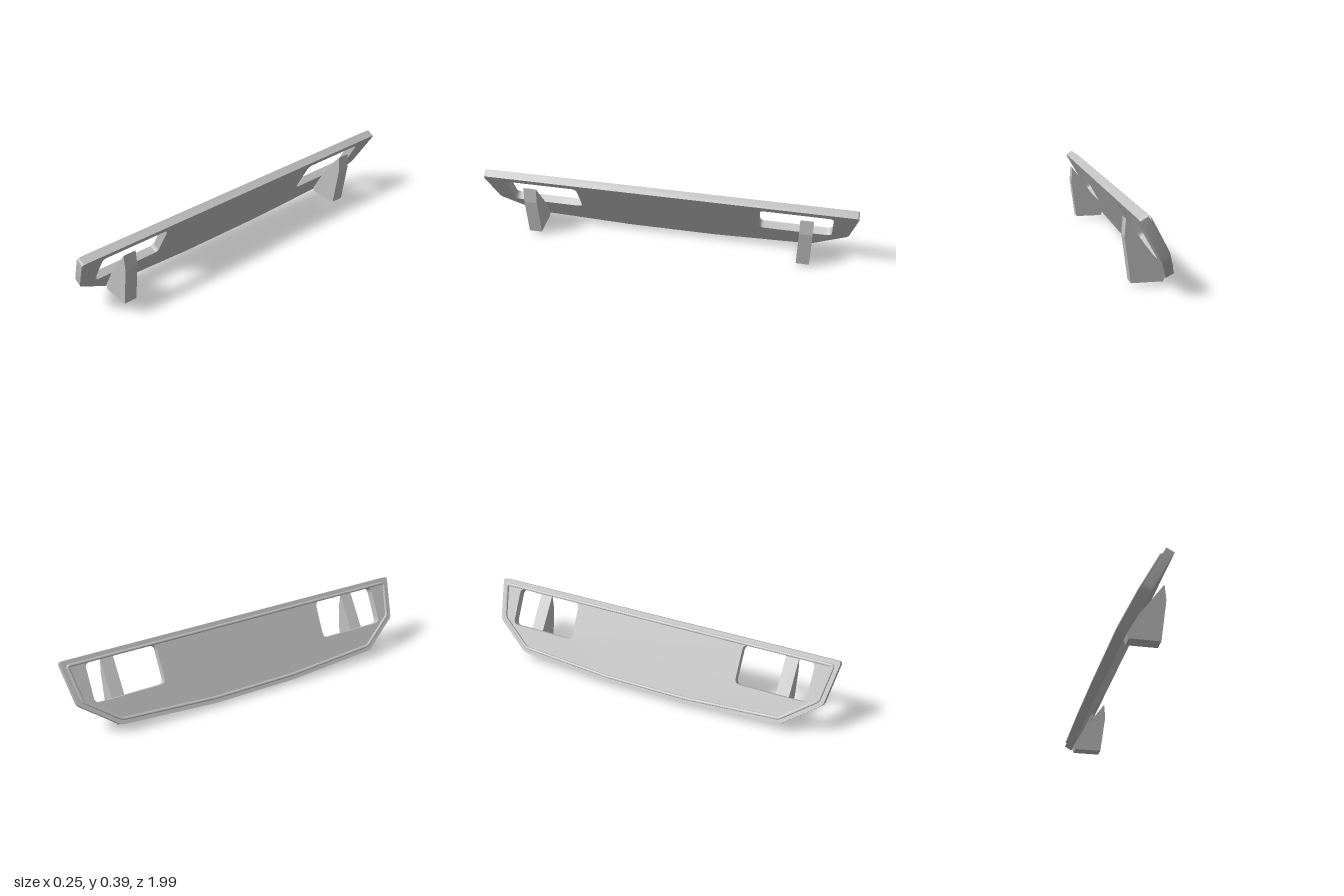
import * as THREE from 'three';
import { toCreasedNormals } from 'three/addons/utils/BufferGeometryUtils.js';

const THICK = 0.044;

// Right half of the plate outline, from bottom to top, then mirrored (counter-clockwise)
const half = [[0.24, 0], [0.77, 0.034], [0.962, 0.185], [1, 0.419]];
const outline = [...half, ...half.map(([x, y]) => [-x, y]).reverse()]
  .map(([x, y]) => new THREE.Vector2(x, y));

// Moves every side of a counter-clockwise polygon inwards by d
function inset(points, d) {
  const n = points.length;
  return points.map((p, i) => {
    const a = p.clone().sub(points[(i + n - 1) % n]).normalize();
    const b = points[(i + 1) % n].clone().sub(p).normalize();
    const na = new THREE.Vector2(-a.y, a.x);
    const nb = new THREE.Vector2(-b.y, b.x);
    const k = d / (1 + na.dot(nb));
    return p.clone().addScaledVector(na.add(nb), k);
  });
}

// Draws a polygon with rounded corners into a Shape or Path
function rounded(target, points, r) {
  const n = points.length;
  points.forEach((p, i) => {
    const prev = points[(i + n - 1) % n], next = points[(i + 1) % n];
    const s = p.clone().add(prev.clone().sub(p).setLength(r));
    const e = p.clone().add(next.clone().sub(p).setLength(r));
    if (i === 0) target.moveTo(s.x, s.y);
    else target.lineTo(s.x, s.y);
    target.quadraticCurveTo(p.x, p.y, e.x, e.y);
  });
  target.closePath();
  return target;
}

function rectangle(x0, x1, y0, y1) {
  return [[x0, y0], [x1, y0], [x1, y1], [x0, y1]].map(([x, y]) => new THREE.Vector2(x, y));
}

export function createModel() {
  const model = new THREE.Group();
  const grey = new THREE.MeshStandardMaterial({ color: 0xc0c0c0 });
  grey.name = 'light grey';

  const add = (parent, name, geometry) => {
    const mesh = new THREE.Mesh(toCreasedNormals(geometry, 0.6), grey);
    mesh.name = name;
    parent.add(mesh);
    return mesh;
  };

  // Leaning panel: its width runs along z and its face looks towards -x and up
  const panel = new THREE.Group();
  panel.name = 'panel';
  const up = new THREE.Vector3(0.484, 0.875, 0).normalize();
  const face = new THREE.Vector3(-up.y, up.x, 0);
  panel.applyMatrix4(new THREE.Matrix4()
    .makeBasis(new THREE.Vector3(0, 0, 1), up, face)
    .setPosition(-0.088, 0.001, 0));
  model.add(panel);

  // Plate with two rounded windows
  const plate = rounded(new THREE.Shape(), outline, 0.018);
  for (const [x0, x1] of [[0.49, 0.875], [-0.875, -0.49]]) {
    plate.holes.push(rounded(new THREE.Path(), rectangle(x0, x1, 0.174, 0.383), 0.03));
  }
  add(panel, 'plate', new THREE.ExtrudeGeometry(plate, {
    depth: THICK, bevelEnabled: false, curveSegments: 6,
  }));

  // Raised bead following the edge of the face
  const bead = rounded(new THREE.Shape(), inset(outline, 0.026), 0.018);
  bead.holes.push(rounded(new THREE.Path(), inset(outline, 0.032), 0.015));
  const beadGeometry = new THREE.ExtrudeGeometry(bead, {
    depth: 0.008, bevelEnabled: true, bevelSize: 0.005, bevelThickness: 0.005,
    bevelSegments: 3, curveSegments: 6,
  });
  add(panel, 'edgeBead', beadGeometry).position.z = THICK - 0.001;

  // Wedge-shaped supports behind the panel
  const profile = new THREE.Shape([
    [-0.055, 0.02], [0.098, 0.02], [0.128, 0.24], [0.121, 0.325], [-0.011, 0.142], [-0.065, 0.044],
  ].map(([x, y]) => new THREE.Vector2(x, y)));
  for (const [name, z] of [['leftEndSupport', -0.74], ['rightEndSupport', 0.74]]) {
    const geometry = new THREE.ExtrudeGeometry(profile, { depth: 0.07, bevelEnabled: false });
    const support = new THREE.Mesh(geometry, grey);
    support.name = name;
    support.position.z = z - 0.035;
    model.add(support);
  }

  return model;
}
